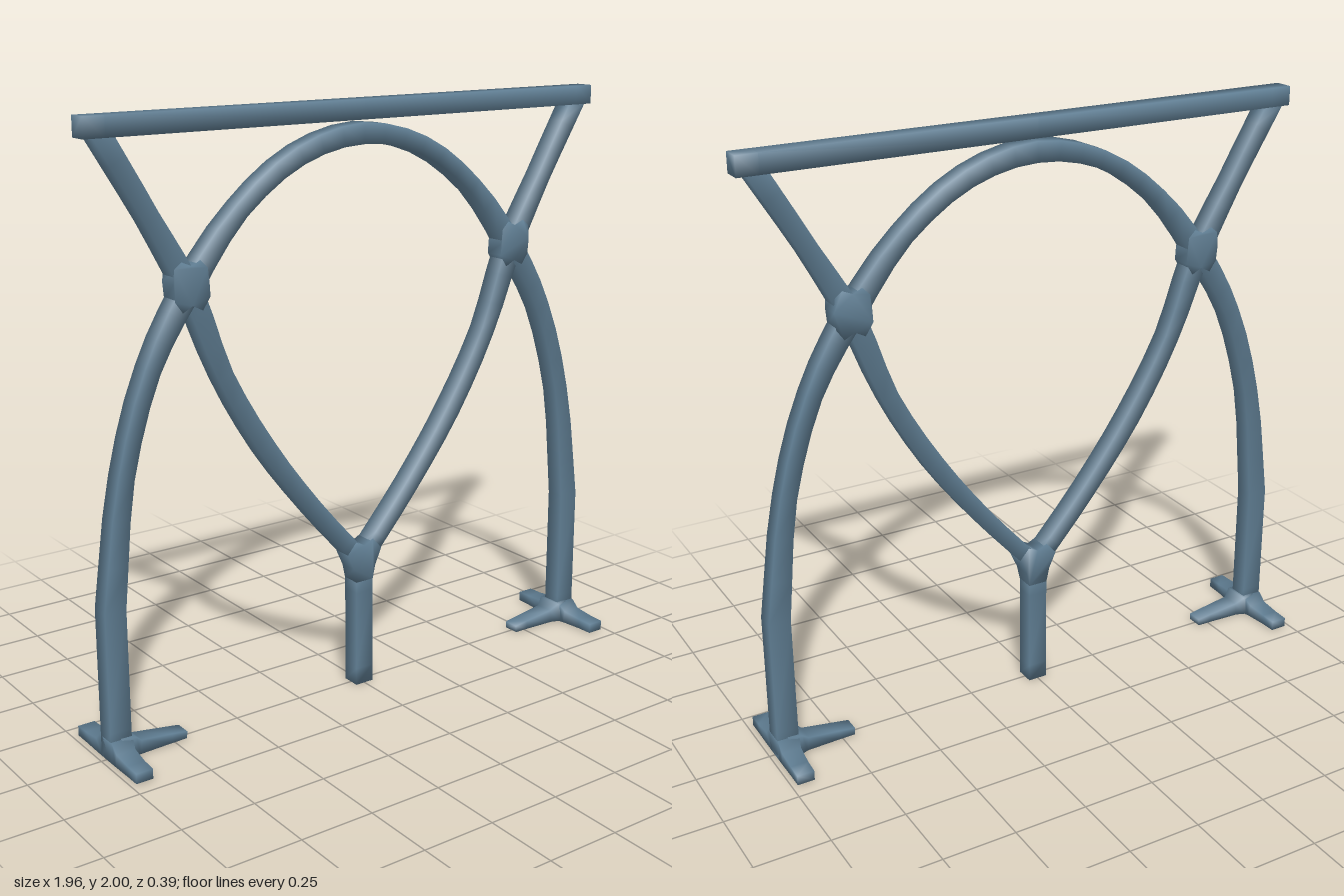
import * as THREE from 'three';
import { mergeVertices } from 'three/addons/utils/BufferGeometryUtils.js';

const material = new THREE.MeshStandardMaterial({ color: 0x5f7d92 });
const DEPTH = 0.033;

// Square bar swept along rows of [x, y, z, half width, half depth], smooth normals
function bar(rows) {
  const pos = [], index = [];
  const at = (i) => new THREE.Vector3(...rows[i].slice(0, 3));
  rows.forEach((row, i) => {
    const t = at(Math.min(i + 1, rows.length - 1)).sub(at(Math.max(i - 1, 0))).normalize();
    const b = Math.abs(t.z) > 0.7 ? new THREE.Vector3(1, 0, 0) : new THREE.Vector3(0, 0, 1);
    const n = b.clone().cross(t).normalize();
    for (const [u, v] of [[1, 1], [-1, 1], [-1, -1], [1, -1]]) {
      const p = at(i).addScaledVector(n, u * row[3]).addScaledVector(b, v * row[4]);
      pos.push(p.x, p.y, p.z);
    }
    if (i === 0) return;
    for (let j = 0; j < 4; j++) {
      const k = (j + 1) % 4, a = (i - 1) * 4, c = i * 4;
      index.push(a + j, a + k, c + k, a + j, c + k, c + j);
    }
  });
  const e = (rows.length - 1) * 4;
  index.push(0, 2, 1, 0, 3, 2, e, e + 1, e + 2, e, e + 2, e + 3);
  const g = new THREE.BufferGeometry();
  g.setAttribute('position', new THREE.Float32BufferAttribute(pos, 3));
  g.setIndex(index);
  g.computeVertexNormals();
  return g;
}

// Rounds a coarse [x, y, half width] path into bar rows
function curved(points, depth, steps = 3) {
  const curve = new THREE.CatmullRomCurve3(points.map(([x, y]) => new THREE.Vector3(x, y, 0)));
  const rows = [], spans = points.length - 1;
  for (let i = 0; i <= spans * steps; i++) {
    const k = Math.min(Math.floor(i / steps), spans - 1), f = i / steps - k;
    const p = curve.getPoint(i / (spans * steps));
    rows.push([p.x, p.y, 0, THREE.MathUtils.lerp(points[k][2], points[k + 1][2], f), depth]);
  }
  return rows;
}

// Thickened joint plate with softened shading
function joint(outline, depth) {
  const shape = new THREE.Shape(outline.map(([x, y]) => new THREE.Vector2(x, y)));
  let g = new THREE.ExtrudeGeometry(shape, { depth: 2 * depth, bevelEnabled: false });
  g.translate(0, 0, -depth);
  g.deleteAttribute('normal');
  g.deleteAttribute('uv');
  g = mergeVertices(g, 1e-4);
  g.computeVertexNormals();
  return g;
}

export function createModel() {
  const group = new THREE.Group();
  const add = (name, geometry) => {
    const mesh = new THREE.Mesh(geometry, material);
    mesh.name = name;
    group.add(mesh);
  };

  // Straight beam across the top
  add('topBeam', bar([-0.98, -0.91, 0, 0.91, 0.98].map((x) => [x, 1.968, 0, 0.032, DEPTH])));

  // Continuous arch with both legs
  const half = [
    [0.944, 0.5, 0.037], [0.888, 0.915, 0.028], [0.785, 1.235, 0.028], [0.645, 1.465, 0.036],
    [0.46, 1.69, 0.027], [0.24, 1.84, 0.03],
  ];
  const mirrored = half.map(([x, y, w]) => [-x, y, w]);
  const arch = curved([...mirrored, [0, 1.893, 0.034], ...half.slice().reverse()], DEPTH);
  const foot = (x) => [0, 0.1].map((y) => [x, y, 0, 0.037, DEPTH]);
  add('archAndLegs', bar([...foot(-0.944), ...arch, ...foot(0.944).reverse()]));

  // Centre post and its forked head
  add('centrePost', bar([0, 0.06, 0.34, 0.42].map((y) => [0, y, 0, 0.034, DEPTH])));
  add('postFork', joint([
    [-0.034, 0.38], [0.034, 0.38], [0.045, 0.43], [0.07, 0.485], [0.035, 0.525],
    [0, 0.508], [-0.035, 0.525], [-0.07, 0.485], [-0.045, 0.43],
  ], 0.034));

  for (const s of [1, -1]) {
    const side = s > 0 ? 'left' : 'right';

    // Curved brace from the post fork up to the beam end
    add(side + 'Brace', bar(curved([
      [0, 0.45, 0.028], [s * 0.2, 0.68, 0.028], [s * 0.38, 0.92, 0.03], [s * 0.53, 1.18, 0.028],
      [s * 0.64, 1.46, 0.036], [s * 0.77, 1.695, 0.028], [s * 0.925, 1.955, 0.031],
    ], 0.0325)));

    // Swollen crossing of arch and brace
    const ring = [
      [0.065, 0.01], [0.06, 0.055], [0.035, 0.075], [0, 0.06], [-0.03, 0.075], [-0.055, 0.05],
      [-0.06, 0], [-0.062, -0.04], [-0.035, -0.08], [0, -0.062], [0.035, -0.08], [0.06, -0.045],
    ];
    add(side + 'Crossing', joint(
      (s > 0 ? ring : ring.slice().reverse()).map(([x, y]) => [s * (0.642 + x), 1.48 + y]), 0.034));

    // Foot: a bar running front to back and a toe pointing inward
    const reach = [[0.195, 0.019, 0.017, 0.029], [0.14, 0.02, 0.018, 0.03], [0.065, 0.023, 0.023, 0.033],
      [0.035, 0.036, 0.036, 0.037]];
    const rows = (d) => reach.map(([z, y, w, h]) => [s * (0.981 - h), y, d * z, w, h]);
    add(side + 'FootBar', bar([...rows(1), ...rows(-1).reverse()]));
    add(side + 'FootToe', bar([
      [s * 0.706, 0.014, 0, 0.012, 0.028], [s * 0.76, 0.018, 0, 0.016, 0.029],
      [s * 0.875, 0.025, 0, 0.024, 0.033], [s * 0.905, 0.038, 0, 0.036, 0.048],
      [s * 0.945, 0.038, 0, 0.037, 0.04],
    ]));
  }
  return group;
}
